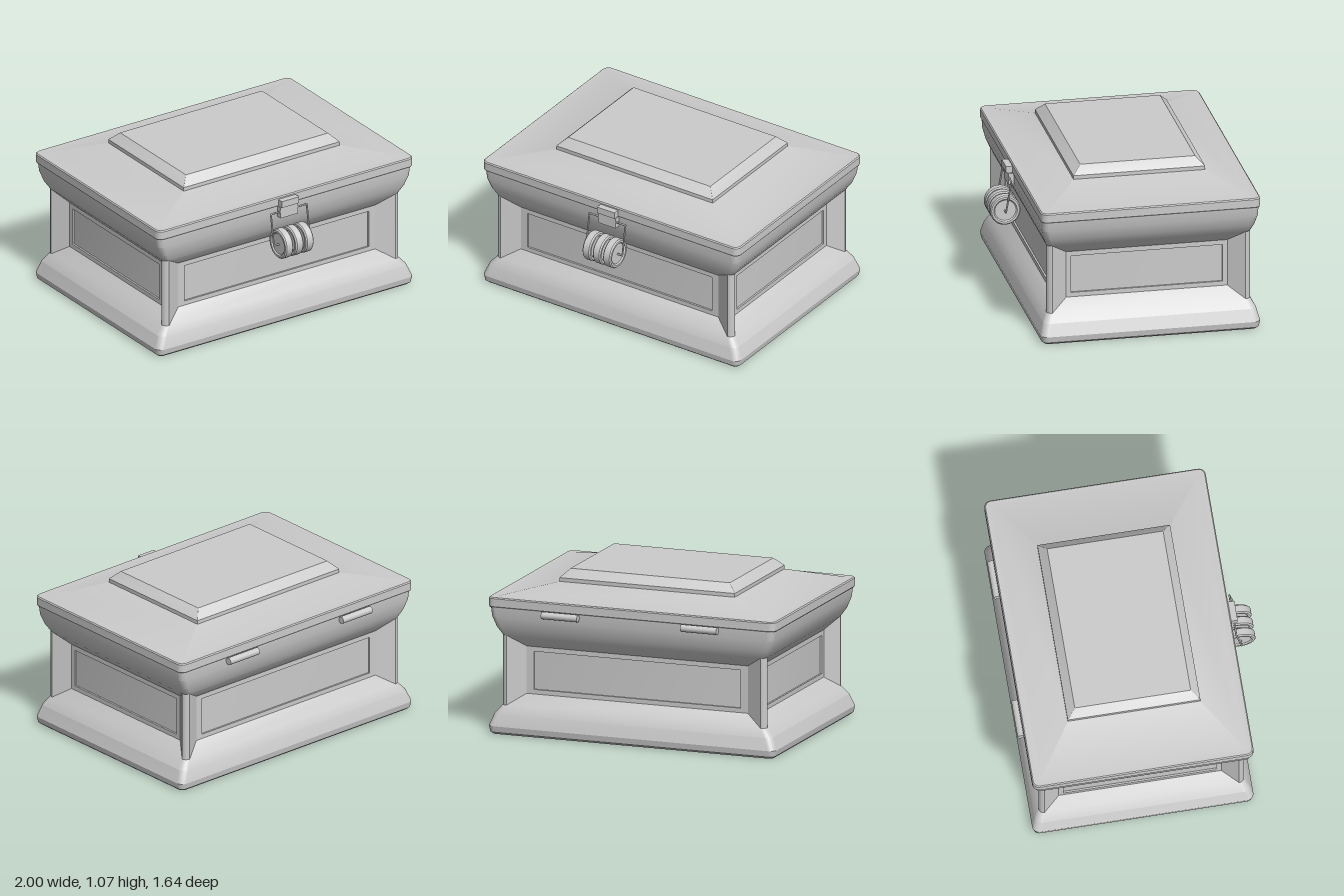
import * as THREE from 'three';
import { toCreasedNormals } from 'three/addons/utils/BufferGeometryUtils.js';

const material = new THREE.MeshStandardMaterial({ color: 0xcccccc });
const CZ = -0.057; // chest centre in depth

function add(parent, name, geometry, x = 0, y = 0, z = 0) {
  const mesh = new THREE.Mesh(geometry, material);
  mesh.name = name;
  mesh.position.set(x, y, z);
  parent.add(mesh);
  return mesh;
}

// Skins a stack of rounded rectangles [halfX, halfZ, y, cornerRadius] and caps both ends
function loftRects(levels) {
  const seg = 6, count = 4 * (seg + 1);
  const pos = [], idx = [];
  for (const [hx, hz, y, r] of levels) {
    for (let q = 0; q < 4; q++) {
      const sx = q === 0 || q === 3 ? 1 : -1, sz = q < 2 ? 1 : -1;
      for (let i = 0; i <= seg; i++) {
        const a = (q + i / seg) * Math.PI / 2;
        pos.push(sx * (hx - r) + r * Math.cos(a), y, sz * (hz - r) + r * Math.sin(a));
      }
    }
  }
  for (let l = 0; l < levels.length - 1; l++) {
    for (let i = 0; i < count; i++) {
      const a = l * count + i, b = l * count + (i + 1) % count;
      idx.push(a, a + count, b, b, a + count, b + count);
    }
  }
  const top = (levels.length - 1) * count;
  for (let i = 1; i < count - 1; i++) {
    idx.push(0, i, i + 1, top, top + i + 1, top + i);
  }
  const g = new THREE.BufferGeometry();
  g.setAttribute('position', new THREE.Float32BufferAttribute(pos, 3));
  g.setIndex(idx);
  return toCreasedNormals(g, 0.33);
}

// Raised border around a recessed side panel
function frameGeometry(hw) {
  const rect = (path, w, y0, y1) => path.moveTo(-w, y0).lineTo(w, y0).lineTo(w, y1).lineTo(-w, y1).closePath();
  const shape = new THREE.Shape();
  rect(shape, hw, 0.255, 0.59);
  const hole = new THREE.Path();
  rect(hole, hw - 0.03, 0.295, 0.548);
  shape.holes.push(hole);
  return new THREE.ExtrudeGeometry(shape, { depth: 0.012, bevelEnabled: false });
}

// Chamfered corner post with a rounded outer edge
function postGeometry() {
  const s = new THREE.Shape();
  s.moveTo(0.72, 0.5);
  s.lineTo(0.845, 0.5);
  s.lineTo(0.845, 0.533);
  s.lineTo(0.92, 0.638);
  s.absarc(0.885, 0.638, 0.035, 0, Math.PI / 2, false);
  s.lineTo(0.77, 0.607);
  s.lineTo(0.72, 0.607);
  s.closePath();
  const g = new THREE.ExtrudeGeometry(s, { depth: 0.48, bevelEnabled: false, curveSegments: 6 });
  g.rotateX(Math.PI / 2);
  g.translate(0, 0.665, 0);
  return toCreasedNormals(g, 0.33);
}

export function createModel() {
  const model = new THREE.Group();
  model.name = 'chest';

  // Body: flared foot, recessed walls, flared upper moulding
  add(model, 'body', loftRects([
    [0.975, 0.7, 0, 0.03],
    [0.993, 0.718, 0.015, 0.04],
    [1.0, 0.725, 0.055, 0.045],
    [0.968, 0.704, 0.135, 0.045],
    [0.92, 0.673, 0.19, 0.035],
    [0.845, 0.607, 0.265, 0.01],
    [0.833, 0.595, 0.265, 0.01],
    [0.833, 0.595, 0.58, 0.01],
    [0.845, 0.607, 0.58, 0.01],
    [0.92, 0.673, 0.655, 0.035],
    [0.957, 0.697, 0.71, 0.045],
    [0.982, 0.714, 0.78, 0.045],
    [0.99, 0.717, 0.845, 0.045],
  ]), 0, 0, CZ);

  // Panel frames on all four sides
  for (let i = 0; i < 4; i++) {
    const side = new THREE.Group();
    side.name = 'panelSide';
    side.position.z = CZ;
    side.rotation.y = i * Math.PI / 2;
    const onEnd = i % 2 === 1;
    add(side, 'panelFrame', frameGeometry(onEnd ? 0.533 : 0.77), 0, 0, onEnd ? 0.833 : 0.595);
    model.add(side);
  }

  // Corner posts: a post and its mirror, each also turned half around
  const post = postGeometry();
  const mirrored = post.clone().scale(-1, 1, 1);
  const p = mirrored.attributes.position, n = mirrored.attributes.normal;
  for (const attr of [p, n]) {
    for (let i = 0; i < attr.count; i += 3) {
      const a = new THREE.Vector3().fromBufferAttribute(attr, i);
      const c = new THREE.Vector3().fromBufferAttribute(attr, i + 2);
      attr.setXYZ(i, c.x, c.y, c.z);
      attr.setXYZ(i + 2, a.x, a.y, a.z);
    }
  }
  for (const turn of [0, Math.PI]) {
    add(model, 'cornerPost', post, 0, 0, CZ).rotation.y = turn;
    add(model, 'cornerPost', mirrored, 0, 0, CZ).rotation.y = turn;
  }

  // Lid: rim, shallow hipped slope and raised bevelled centre
  add(model, 'lid', loftRects([
    [0.995, 0.72, 0.843, 0.04],
    [1.0, 0.725, 0.85, 0.045],
    [1.0, 0.725, 0.903, 0.045],
    [0.993, 0.718, 0.91, 0.04],
    [0.945, 0.668, 0.91, 0.002],
    [0.61, 0.435, 0.985, 0.002],
    [0.61, 0.435, 1.01, 0.002],
    [0.555, 0.38, 1.065, 0.002],
  ]), 0, 0, CZ);

  // Hinge barrels at the back
  for (const x of [-0.485, 0.485]) {
    const g = new THREE.CylinderGeometry(0.024, 0.024, 0.25, 20).rotateZ(Math.PI / 2);
    add(model, 'hinge', g, x, 0.825, -0.797);
  }

  // Hasp: lid half and body half
  const lock = new THREE.Group();
  lock.name = 'lock';
  model.add(lock);
  add(lock, 'haspUpper', new THREE.BoxGeometry(0.135, 0.045, 0.055), 0, 0.872, 0.683);
  add(lock, 'haspLower', new THREE.BoxGeometry(0.135, 0.075, 0.045), 0, 0.807, 0.673);

  // Wire shackle hanging from the hasp and carrying the dials
  const corners = [[-0.14, 0.605, 0.725], [-0.14, 0.815, 0.69], [0.14, 0.815, 0.69], [0.14, 0.605, 0.725]]
    .map((c) => new THREE.Vector3(...c));
  corners.forEach((a, i) => {
    const b = corners[(i + 1) % 4];
    add(lock, 'shackle', new THREE.TubeGeometry(new THREE.LineCurve3(a, b), 1, 0.006, 8));
    add(lock, 'shackleCorner', new THREE.SphereGeometry(0.006, 8, 6), a.x, a.y, a.z);
  });

  // Three number dials with bevelled rims and a sunken hub
  const profile = [[0.001, -0.022], [0.07, -0.022], [0.078, -0.03], [0.092, -0.03], [0.1, -0.022],
    [0.1, 0.022], [0.092, 0.03], [0.078, 0.03], [0.07, 0.022], [0.001, 0.022]]
    .map(([r, y]) => new THREE.Vector2(r, y));
  const dial = toCreasedNormals(new THREE.LatheGeometry(profile, 30).rotateZ(Math.PI / 2), 0.4);
  for (const x of [-0.08, 0, 0.08]) add(lock, 'dial', dial, x, 0.606, 0.722);
  add(lock, 'dialAxle', new THREE.CylinderGeometry(0.02, 0.02, 0.2, 16).rotateZ(Math.PI / 2), 0, 0.606, 0.722);

  return model;
}
